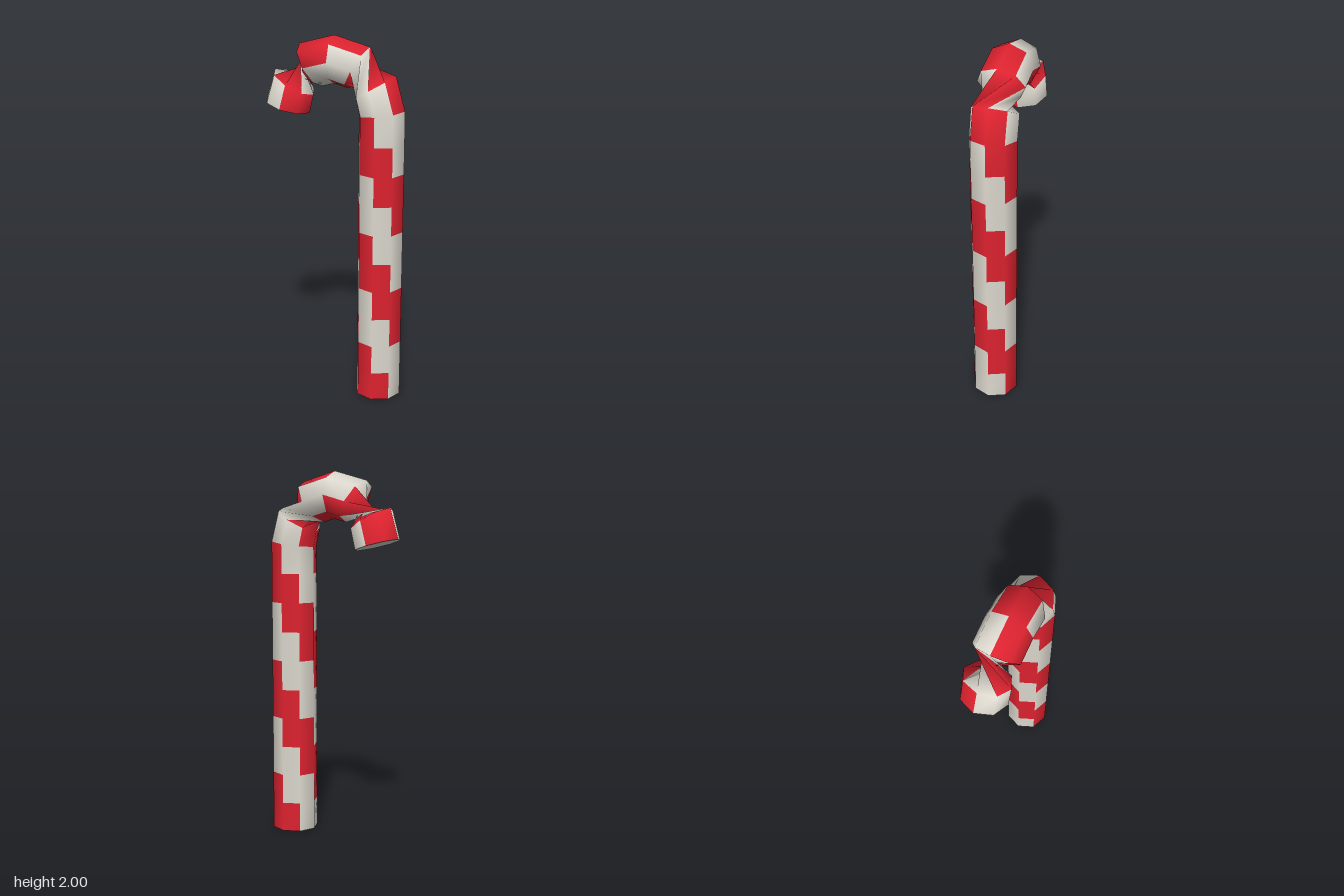
import * as THREE from 'three';

const SIDES = 8, RADIUS = 0.127, HOOK = 0.264, HEIGHT = 1.609;
const SHAFT_ROWS = 10, HOOK_ROWS = 6;

// Centre line: straight shaft, then a half circle
function centreLine() {
  const points = [];
  for (let i = 0; i < SHAFT_ROWS; i++) points.push(new THREE.Vector3(HOOK, HEIGHT * i / SHAFT_ROWS, 0));
  for (let i = 0; i <= HOOK_ROWS; i++) {
    const a = Math.PI * i / HOOK_ROWS;
    points.push(new THREE.Vector3(HOOK * Math.cos(a), HEIGHT + HOOK * Math.sin(a), 0));
  }
  return points;
}

// Rings turn a quarter at the first pinch and a half at the second
function ringTurn(j) {
  if (j >= SHAFT_ROWS + 5) return 2;
  return j >= SHAFT_ROWS + 2 ? -2 : 0;
}

function caneGeometry() {
  const path = centreLine(), last = path.length - 1;
  const position = [], red = [], white = [];
  path.forEach((c, j) => {
    const ahead = path[Math.min(j + 1, last)], behind = path[Math.max(j - 1, 0)];
    const t = ahead.clone().sub(c).normalize().add(c.clone().sub(behind).normalize()).normalize();
    for (let s = 0; s < SIDES; s++) {
      const a = (s + ringTurn(j)) * 2 * Math.PI / SIDES;
      const out = RADIUS * Math.cos(a);
      position.push(c.x + t.y * out, c.y - t.x * out, RADIUS * Math.sin(a));
    }
  });
  // Stepped spiral: two red and two white sides, shifted by one each row
  for (let j = 0; j < last; j++) {
    for (let s = 0; s < SIDES; s++) {
      const n = (s + 1) % SIDES;
      const a = j * SIDES + s, b = j * SIDES + n, d = a + SIDES, e = b + SIDES;
      const isRed = (s - j - 1 + 40) % 4 < 2;
      (isRed ? red : white).push(a, d, b, b, d, e);
    }
  }
  const geometry = new THREE.BufferGeometry();
  geometry.setAttribute('position', new THREE.Float32BufferAttribute(position, 3));
  geometry.setIndex([...red, ...white]);
  geometry.addGroup(0, red.length, 0);
  geometry.addGroup(red.length, white.length, 1);
  geometry.computeVertexNormals();
  return geometry;
}

export function createModel() {
  const model = new THREE.Group();
  model.name = 'candyCane';
  const red = new THREE.MeshStandardMaterial({ color: 0xdf2330, side: THREE.DoubleSide });
  red.name = 'candyRed';
  const white = new THREE.MeshStandardMaterial({ color: 0xdedad0, side: THREE.DoubleSide });
  white.name = 'candyWhite';

  const cane = new THREE.Mesh(caneGeometry(), [red, white]);
  cane.name = 'stripedCane';
  model.add(cane);

  // Flat ends facing down
  const disc = new THREE.CircleGeometry(RADIUS, SIDES).rotateX(Math.PI / 2);
  const base = new THREE.Mesh(disc, red);
  base.name = 'baseCap';
  base.position.set(HOOK, 0, 0);
  const tip = new THREE.Mesh(disc, white);
  tip.name = 'hookTipCap';
  tip.position.set(-HOOK, HEIGHT, 0);
  tip.rotation.z = -Math.PI / HOOK_ROWS / 2;
  model.add(base, tip);
  return model;
}
